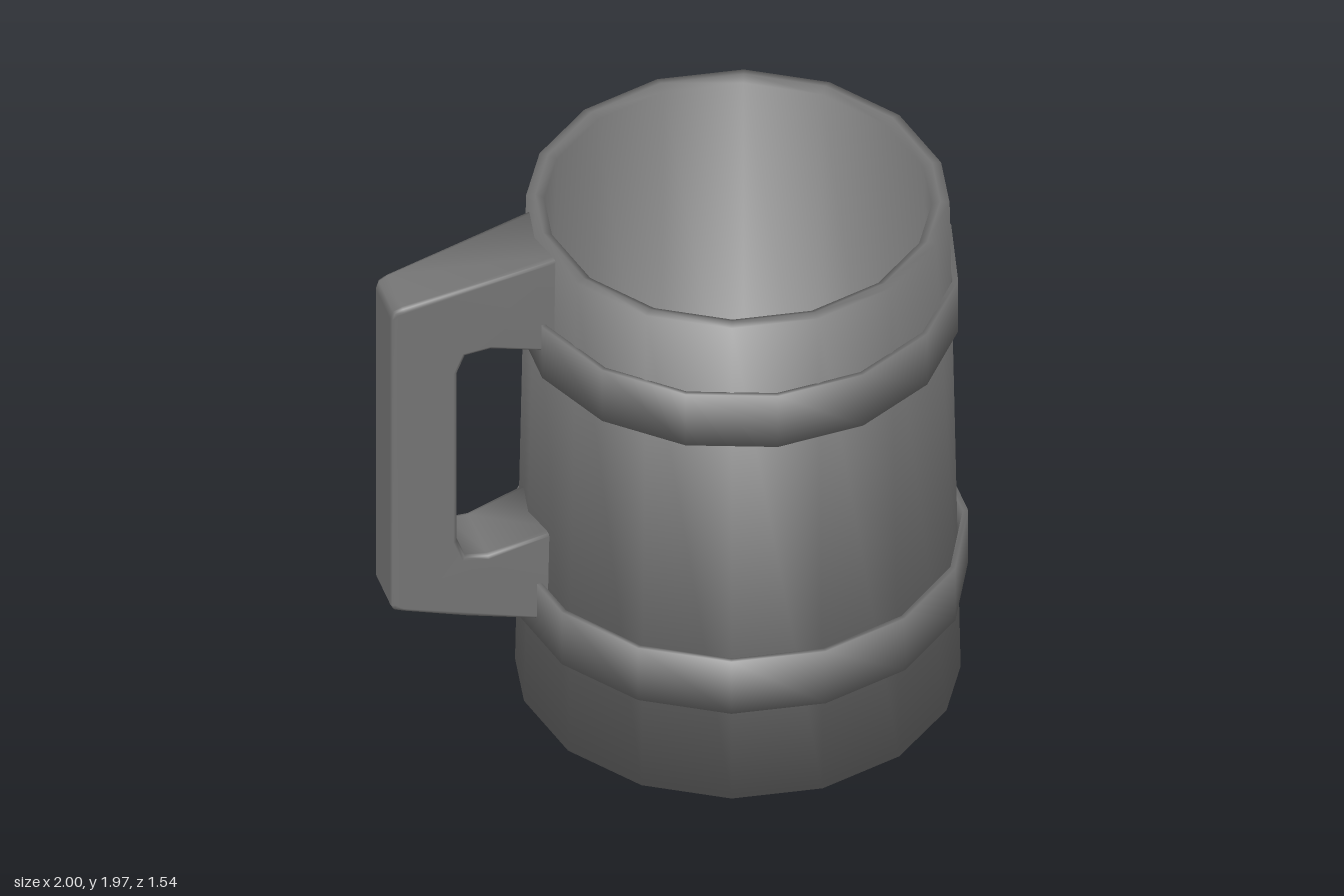
import * as THREE from 'three';
import { mergeVertices } from 'three/addons/utils/BufferGeometryUtils.js';

const CENTER_X = 0.241;
const material = new THREE.MeshStandardMaterial({ color: 0x757575 });

function addMesh(group, name, geometry, x = 0) {
  const mesh = new THREE.Mesh(geometry, material);
  mesh.name = name;
  mesh.position.x = x;
  group.add(mesh);
}

// Revolves a [radius, y] profile around a list of angles; normals blend evenly over every edge
function loopSurface(profile, angles) {
  const positions = [];
  const normals = [];
  const indices = [];
  const n = angles.length;
  const points = profile.map(([r, y]) => new THREE.Vector2(r, y));
  const edges = points.slice(1).map((p, j) => {
    const d = p.clone().sub(points[j]).normalize();
    return new THREE.Vector2(d.y, -d.x);
  });
  points.forEach((p, j) => {
    const before = edges[Math.max(j - 1, 0)];
    const after = edges[Math.min(j, edges.length - 1)];
    const normal = before.clone().add(after).normalize();
    for (const a of angles) {
      positions.push(p.x * Math.cos(a), p.y, -p.x * Math.sin(a));
      normals.push(normal.x * Math.cos(a), normal.y, -normal.x * Math.sin(a));
    }
  });
  for (let j = 0; j < points.length - 1; j++) {
    for (let i = 0; i < n; i++) {
      const a = j * n + i;
      const b = j * n + ((i + 1) % n);
      if (points[j].x > 0) indices.push(a, b, a + n);
      if (points[j + 1].x > 0) indices.push(b, b + n, a + n);
    }
  }
  const geometry = new THREE.BufferGeometry();
  geometry.setAttribute('position', new THREE.Float32BufferAttribute(positions, 3));
  geometry.setAttribute('normal', new THREE.Float32BufferAttribute(normals, 3));
  geometry.setIndex(indices);
  return geometry;
}

// Thin fifteen-sided hoop around the cup
function hoopGeometry(radius, bottom, top, start) {
  const inner = radius - 0.018;
  const mid = (bottom + top) / 2;
  const angles = Array.from({ length: 15 }, (_, i) => start + (i / 15) * Math.PI * 2);
  return loopSurface([
    [inner, mid], [inner, bottom], [radius, bottom],
    [radius, top], [inner, top], [inner, mid],
  ], angles);
}

// Squared loop handle, wider where it meets the cup
function handleGeometry() {
  const outline = [
    [-0.43, 1.965], [-0.96, 1.835], [-0.99, 1.82], [-1, 1.79],
    [-1, 0.58], [-0.99, 0.56], [-0.96, 0.55], [-0.74, 0.495], [-0.44, 0.435],
    [-0.44, 0.815], [-0.67, 0.745], [-0.745, 0.75], [-0.773, 0.82],
    [-0.773, 1.53], [-0.745, 1.6], [-0.66, 1.615], [-0.43, 1.57],
  ].map(([x, y]) => new THREE.Vector2(x, y));
  const bevel = 0.015;
  const depth = 0.2;
  const extruded = new THREE.ExtrudeGeometry(new THREE.Shape(outline), {
    depth: depth - 2 * bevel,
    bevelEnabled: true,
    bevelSize: bevel,
    bevelOffset: -bevel,
    bevelThickness: bevel,
    bevelSegments: 2,
  });
  extruded.translate(0, 0, bevel - depth / 2);
  const p = extruded.attributes.position;
  for (let i = 0; i < p.count; i++) {
    p.setZ(i, p.getZ(i) * (1 + 0.85 * (p.getX(i) + 1)));
  }
  // Weld the corners so the shading runs smoothly over them
  extruded.deleteAttribute('normal');
  extruded.deleteAttribute('uv');
  const geometry = mergeVertices(extruded, 1e-4);
  geometry.computeVertexNormals();
  return geometry;
}

export function createModel() {
  const group = new THREE.Group();
  group.name = 'tankard';

  // Cup: sixteen uneven sides, the second half repeating the first
  const half = [0, 24, 48, 72, 96, 120, 143, 162];
  const angles = [...half, ...half.map((d) => d + 180)].map(THREE.MathUtils.degToRad);
  addMesh(group, 'cup', loopSurface([
    [0, 0], [0.748, 0],
    [0.711, 1.965], [0.68, 1.97], [0.65, 1.955],
    [0.68, 0.12], [0, 0.12],
  ], angles), CENTER_X);

  // Hoops
  addMesh(group, 'lowerHoop', hoopGeometry(0.775, 0.38, 0.6, Math.PI), CENTER_X);
  addMesh(group, 'upperHoop', hoopGeometry(0.746, 1.48, 1.695, 0), CENTER_X);

  // Handle
  addMesh(group, 'handle', handleGeometry());

  return group;
}
